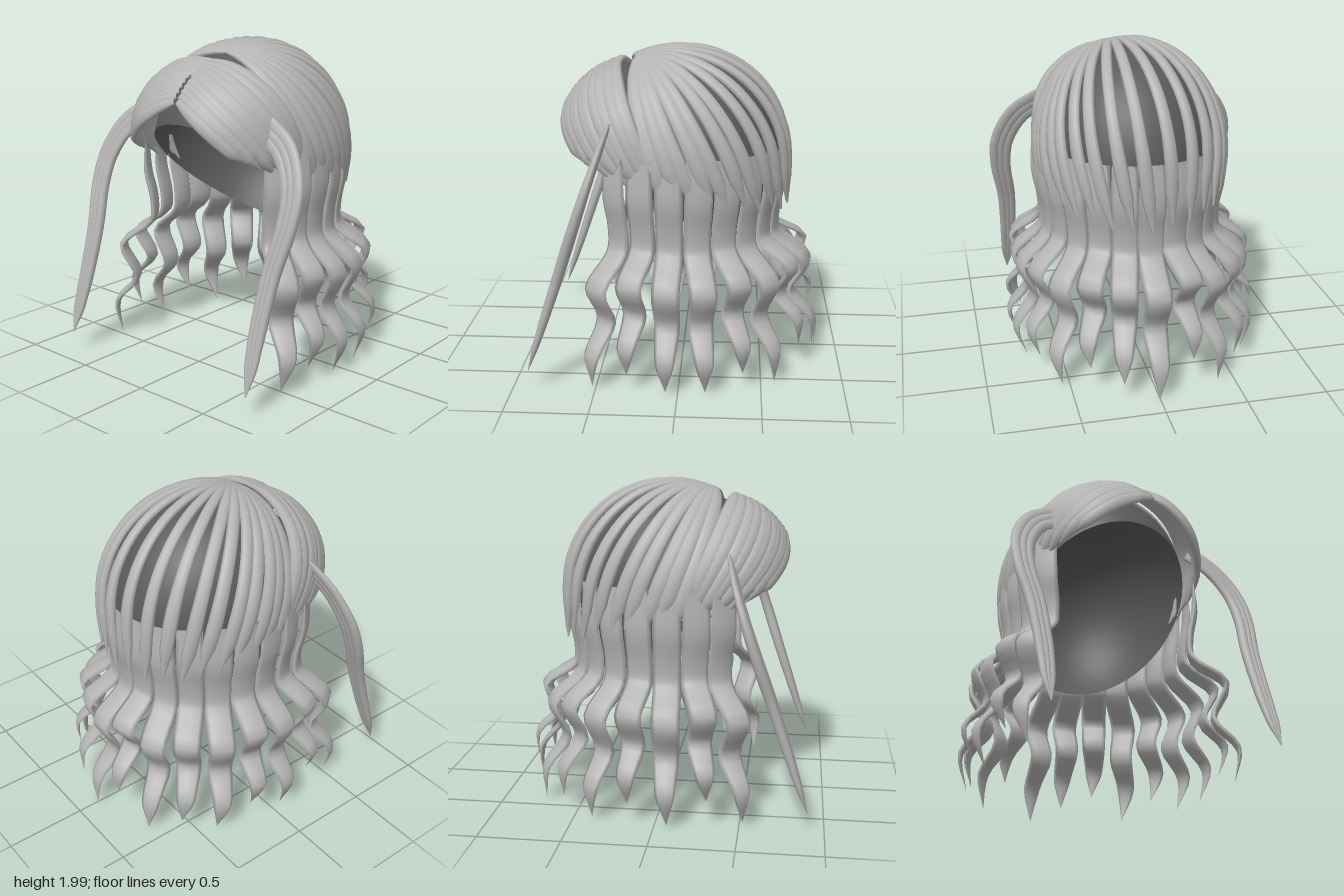
import * as THREE from 'three';

const V = (x, y, z) => new THREE.Vector3(x, y, z);

// Linear lookup in evenly spaced values
function ramp(values, t) {
  const f = Math.min(t, 0.99999) * (values.length - 1), i = Math.floor(f);
  return values[i] + (values[i + 1] - values[i]) * (f - i);
}

// Strand of hair: oval cross-sections swept along a curve.
// normalAt(point) is the outward direction, shift slides the strand sideways.
function strandGeometry(points, normalAt, widths, thicks, segments = 20, shift = 0) {
  const curve = new THREE.CatmullRomCurve3(points), sides = 8;
  const pos = [], idx = [];
  for (let i = 0; i <= segments; i++) {
    const t = i / segments;
    const p = curve.getPoint(t), T = curve.getTangent(t);
    const side = normalAt(p).cross(T).normalize();
    const n = T.clone().cross(side).normalize();
    const w = Math.max(ramp(widths, t), 0.002) / 2, h = Math.max(ramp(thicks, t), 0.002) / 2;
    for (let j = 0; j < sides; j++) {
      const a = (j / sides) * Math.PI * 2;
      const q = p.clone().addScaledVector(side, (Math.cos(a) + shift) * w).addScaledVector(n, Math.sin(a) * h);
      pos.push(q.x, q.y, q.z);
      if (i < segments) {
        const A = i * sides + j, B = i * sides + (j + 1) % sides;
        idx.push(A, B, A + sides, B, B + sides, A + sides);
      }
    }
  }
  const g = new THREE.BufferGeometry();
  g.setAttribute('position', new THREE.Float32BufferAttribute(pos, 3));
  g.setIndex(idx);
  g.computeVertexNormals();
  return g;
}

// Rounded shell: arc() runs over its surface, normal() points away from it
function shell(center, r, power) {
  const project = d => {
    const s = Math.abs(d.x / r.x) ** power + Math.abs(d.y / r.y) ** power + Math.abs(d.z / r.z) ** power;
    return d.clone().multiplyScalar(s ** (-1 / power)).add(center);
  };
  const normal = p => {
    const d = p.clone().sub(center);
    const g = k => Math.sign(d[k]) * Math.abs(d[k] / r[k]) ** (power - 1) / r[k];
    return V(g('x'), g('y'), g('z')).normalize();
  };
  const arc = (from, to, count = 10) => {
    const a = from.clone().divide(r).normalize(), b = to.clone().divide(r).normalize();
    const angle = a.angleTo(b), out = [];
    for (let i = 0; i <= count; i++) {
      const t = i / count;
      const d = a.clone().multiplyScalar(Math.sin((1 - t) * angle)).addScaledVector(b, Math.sin(t * angle));
      out.push(project(d.multiply(r)));
    }
    return out;
  };
  return { arc, normal };
}

export function createModel() {
  const hair = new THREE.MeshStandardMaterial({ color: 0xb4b4b4 });
  hair.name = 'hair grey';
  const dark = new THREE.MeshStandardMaterial({ color: 0x5a5a5a, side: THREE.DoubleSide });
  dark.name = 'cap dark grey';

  const model = new THREE.Group();
  model.name = 'wig';
  const group = name => {
    const g = new THREE.Group();
    g.name = name;
    model.add(g);
    return g;
  };
  const add = (parent, name, geometry, material = hair) => {
    const m = new THREE.Mesh(geometry, material);
    m.name = name;
    parent.add(m);
  };

  // Open cap, tilted so the face is free and the nape is covered
  const capGeometry = new THREE.SphereGeometry(1, 48, 24, 0, Math.PI * 2, 0, 1.832);
  capGeometry.rotateX(-0.636).scale(0.55, 0.675, 0.635).translate(0, 1.285, 0.03);
  add(model, 'cap', capGeometry, dark);

  // Crown strands fan out from the whorl, with gaps at the back, and hang straight below the widest level
  const crown = group('crownStrands');
  const dome = shell(V(0, 1.3, 0.02), V(0.585, 0.685, 0.67), 2.08);
  const whorl = V(0.06, 0.62, 0.24);
  const hang = p => {
    const s = p.y < 1.3 ? Math.sqrt(1 - ((1.3 - p.y) / 0.685) ** 2) : 1;
    return V(p.x / s, p.y, 0.02 + (p.z - 0.02) / s);
  };
  const crownCount = 10;
  for (let k = -crownCount; k <= crownCount; k++) {
    const u = Math.abs(k) / crownCount;
    const a = Math.sign(k) * 1.68 * (1.22 * u - 0.22 * u * u);
    const drop = -0.33 + 0.22 * u + (k % 2 ? 0.04 : 0);
    const end = V(Math.sin(a) * 0.58, drop, -Math.cos(a) * 0.66);
    const widths = [0.06, 0.075, 0.09, 0.095, 0.1, 0.105, 0.115, 0.11, 0.02].map(w => w * (0.73 + 0.27 * u * u));
    add(crown, 'crownStrand', strandGeometry(dome.arc(whorl, end).map(hang), dome.normal, widths,
      [0.02, 0.035, 0.04, 0.045, 0.045, 0.05, 0.055, 0.05, 0.01], 24));
  }

  // Fringe strands sweep from the centre parting to both temples; the parting opens towards the front
  const fringe = group('fringe');
  const brow = shell(V(0, 1.4, 0.19), V(0.555, 0.52, 0.585), 2.2);
  const fringeCount = 11;
  for (const s of [-1, 1]) {
    for (let i = 0; i < fringeCount; i++) {
      const f = i / (fringeCount - 1), a = 0.41 + 0.64 * f;
      const start = V(0.035 + s * (f > 0.4 ? 0.014 : -0.02), Math.cos(a) * 0.55, Math.sin(a) * 0.55);
      const end = V(s * (0.59 - 0.14 * f), -0.25 + 0.22 * f + (i % 2) * 0.03, -0.08 + 0.47 * f);
      add(fringe, 'fringeStrand', strandGeometry(brow.arc(start, end), brow.normal,
        [0.05, 0.08, 0.1, 0.105, 0.105, 0.1, 0.09, 0.01],
        [0.02, 0.05, 0.05, 0.055, 0.055, 0.05, 0.05, 0.01]));
    }
  }

  // Wavy lower locks hang in a ring around the sides and back: [height, radius]
  const lower = group('lowerLocks');
  const wave = [[1.41, 0.645], [1.15, 0.645], [0.97, 0.61], [0.82, 0.62], [0.64, 0.82],
    [0.41, 0.73], [0.22, 0.87], [0, 0.88]];
  const tips = [0.01, 0.12, 0.2, 0.02, 0.12, 0.02, 0.02, 0.12, 0.02];
  const leftTips = [0.01, 0.24, 0.02, 0.1, 0.02, 0.14, 0.02, 0.18, 0.04];
  for (let k = -8; k <= 8; k++) {
    const tip = k < 0 ? leftTips[-k] : tips[k], a = k * 0.272;
    const across = Math.sin(a), back = Math.cos(a);
    // locks beside the face keep clear of the opening
    const spread = back < 0 ? Math.sign(across) * Math.sqrt(Math.abs(across)) : across;
    const points = wave.map(([y, r], i) => {
      const reach = i === wave.length - 1 ? r - 0.08 * Math.abs(across) : r;
      return V(spread * reach * 0.91, y > 0.9 ? y : 0.95 - (0.95 - y) * (0.95 - tip) / 0.95, 0.02 - back * r);
    });
    const out = V(across, 0, -back);
    add(lower, 'lowerLock', strandGeometry(points, () => out.clone(),
      [0.15, 0.17, 0.165, 0.165, 0.17, 0.165, 0.15, 0.11, 0],
      [0, 0.04, 0.045, 0.045, 0.04, 0.04, 0.04, 0.03, 0], 28));
  }

  // Long locks framing the face, each of three strands side by side
  const path = [[0.47, 1.55], [0.64, 1.44], [0.745, 1.25], [0.76, 1.05], [0.725, 0.8],
    [0.715, 0.5], [0.72, 0.3], [0.725, 0.14]];
  for (const s of [-1, 1]) {
    const lock = group(s > 0 ? 'leftLongLock' : 'rightLongLock');
    const points = path.map(([x, y]) => V(s * x, y, 0.41 + (1.6 - y) * 0.335));
    const front = V(0, 0.32, 0.95);
    for (const shift of [-1.1, 0, 1.1]) {
      add(lock, 'longStrand', strandGeometry(points, () => front.clone(),
        [0.08, 0.08, 0.075, 0.067, 0.06, 0.055, 0.05, 0.04, 0.003],
        [0.03, 0.04, 0.05, 0.06, 0.065, 0.06, 0.05, 0.035, 0.003], 28, shift));
    }
  }
  return model;
}
